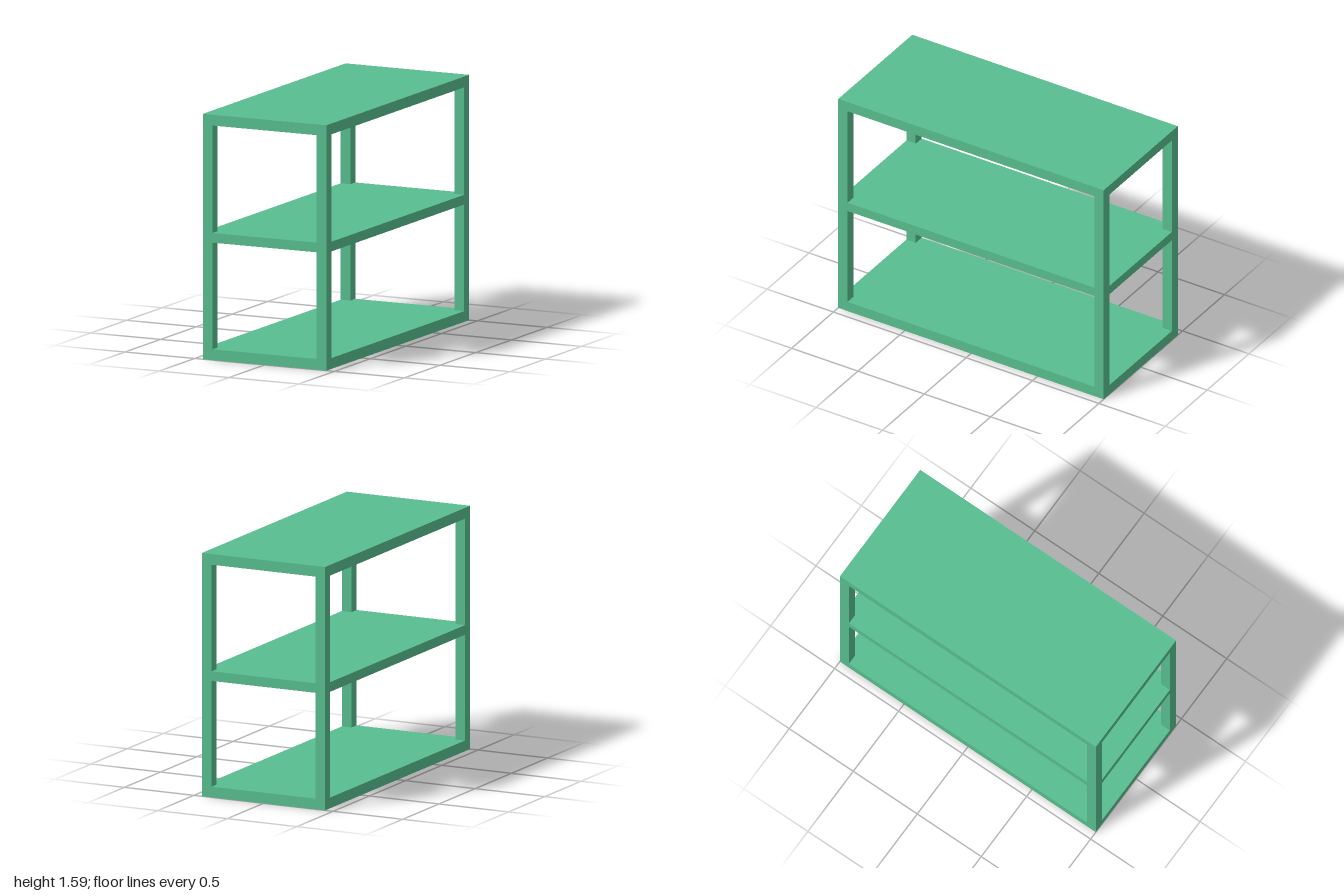
import * as THREE from 'three';

const W = 0.885, D = 2, H = 1.59; // overall size
const T = 0.07;                   // board and post thickness

export function createModel() {
  const group = new THREE.Group();
  const material = new THREE.MeshStandardMaterial({ color: 0x58be8f });

  const add = (name, geometry, x, y, z) => {
    const mesh = new THREE.Mesh(geometry, material);
    mesh.name = name;
    mesh.position.set(x, y, z);
    group.add(mesh);
  };

  // Full boards at the bottom and top
  add('bottomBoard', new THREE.BoxGeometry(W, T, D), 0, T / 2, 0);
  add('topBoard', new THREE.BoxGeometry(W, T, D), 0, H - T / 2, 0);

  // Square corner posts between the two boards
  const postGeometry = new THREE.BoxGeometry(T, H - 2 * T, T);
  for (const [side, sx] of [['Left', 1], ['Right', -1]]) {
    for (const [end, sz] of [['front', 1], ['back', -1]]) {
      add(`${end}${side}Post`, postGeometry, sx * (W - T) / 2, H / 2, sz * (D - T) / 2);
    }
  }

  // Middle shelf, flush with the frame and notched around the posts
  const a = W / 2, b = D / 2, c = a - T, d = b - T;
  const outline = new THREE.Shape([
    [c, -b], [c, -d], [a, -d], [a, d], [c, d], [c, b],
    [-c, b], [-c, d], [-a, d], [-a, -d], [-c, -d], [-c, -b],
  ].map(([x, y]) => new THREE.Vector2(x, y)));
  const shelf = new THREE.ExtrudeGeometry(outline, { depth: 0.063, bevelEnabled: false });
  shelf.rotateX(-Math.PI / 2);
  add('middleShelf', shelf, 0, 0.761, 0);

  return group;
}
